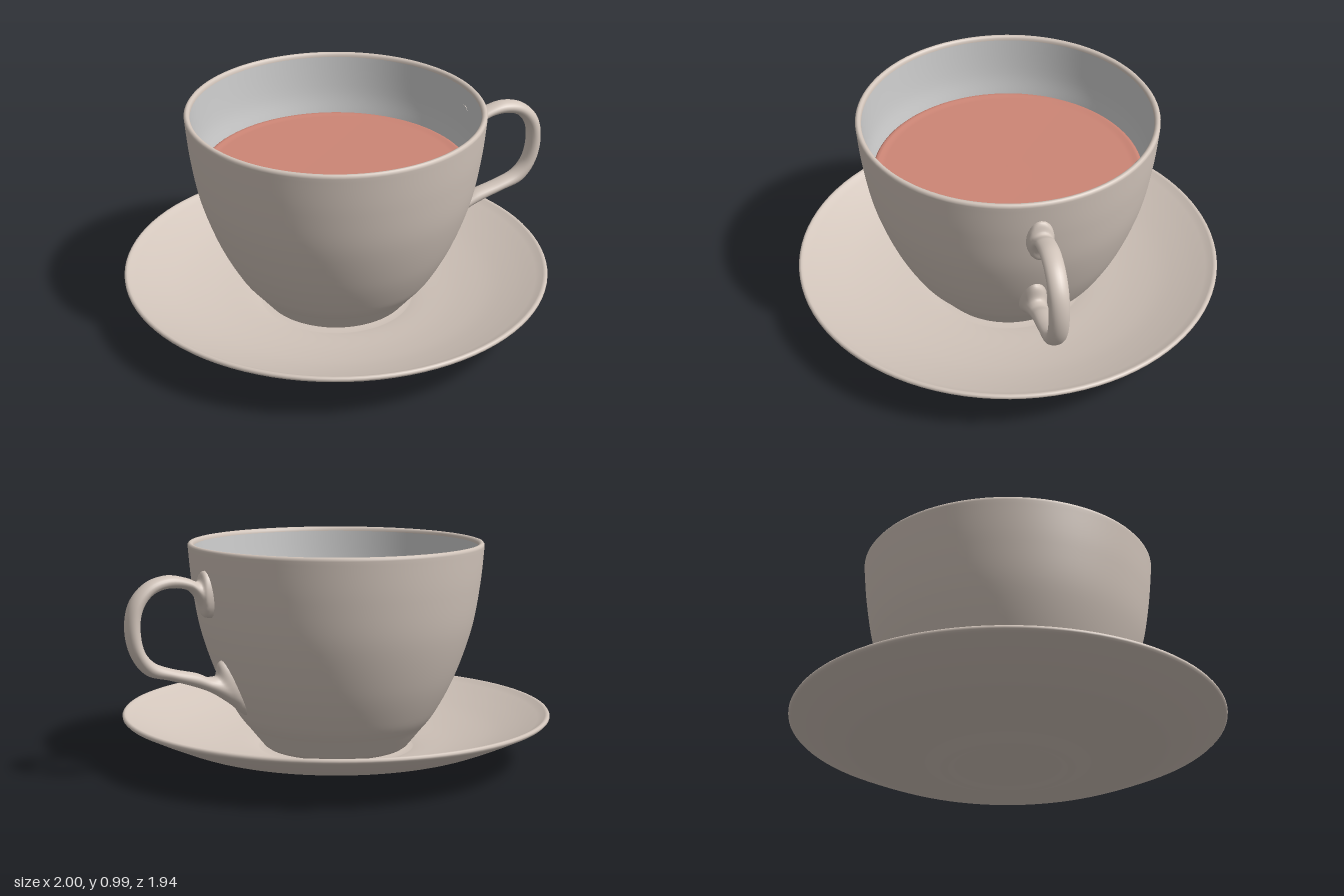
import * as THREE from 'three';

const CENTRE_X = -0.03; // cup and saucer axis; the handle fills the rest of +x

const glaze = new THREE.MeshStandardMaterial({ color: 0xd2c5bb });
const lining = new THREE.MeshStandardMaterial({ color: 0xcccccc });
const tea = new THREE.MeshStandardMaterial({ color: 0xcc8575 });

// Turned part from [radius, y] points running counter-clockwise round the section
function turned(name, profile, material) {
  const points = profile.map(([r, y]) => new THREE.Vector2(r, y));
  const mesh = new THREE.Mesh(new THREE.LatheGeometry(points, 96), material);
  mesh.name = name;
  mesh.position.x = CENTRE_X;
  return mesh;
}

// Resample a few points into a smooth curve
function smooth(points, count) {
  const curve = new THREE.SplineCurve(points.map(([x, y]) => new THREE.Vector2(x, y)));
  return curve.getPoints(count).map((p) => [p.x, p.y]);
}

// Elliptical sections spanning an outer and an inner edge curve
function handleGeometry() {
  // [outer x, outer y, inner x, inner y, half width in z]
  const sections = [
    [0.60, 0.90, 0.60, 0.69, 0.06],
    [0.638, 0.895, 0.635, 0.70, 0.057],
    [0.66, 0.855, 0.655, 0.755, 0.048],
    [0.71, 0.872, 0.70, 0.815, 0.043],
    [0.80, 0.89, 0.80, 0.833, 0.043],
    [0.90, 0.865, 0.875, 0.81, 0.043],
    [0.975, 0.79, 0.92, 0.755, 0.043],
    [1.00, 0.68, 0.935, 0.68, 0.043],
    [0.977, 0.56, 0.917, 0.575, 0.043],
    [0.91, 0.47, 0.87, 0.52, 0.043],
    [0.80, 0.435, 0.785, 0.485, 0.043],
    [0.68, 0.395, 0.67, 0.455, 0.043],
    [0.60, 0.36, 0.61, 0.43, 0.045],
    [0.51, 0.30, 0.58, 0.435, 0.052],
    [0.43, 0.24, 0.565, 0.49, 0.06],
    [0.39, 0.25, 0.53, 0.51, 0.06],
  ];
  const outer = new THREE.CatmullRomCurve3(sections.map((s) => new THREE.Vector3(s[0], s[1], s[4])));
  const inner = new THREE.CatmullRomCurve3(sections.map((s) => new THREE.Vector3(s[2], s[3], s[4])));
  const steps = 90, sides = 24, positions = [], index = [];
  for (let i = 0; i <= steps; i++) {
    const o = outer.getPoint(i / steps), n = inner.getPoint(i / steps);
    for (let j = 0; j < sides; j++) {
      const t = (j / sides) * Math.PI * 2, k = (1 + Math.cos(t)) / 2;
      positions.push(n.x + (o.x - n.x) * k, n.y + (o.y - n.y) * k, o.z * Math.sin(t));
      if (i === steps) continue;
      const a = i * sides + j, b = i * sides + ((j + 1) % sides);
      index.push(a, b, a + sides, b, b + sides, a + sides);
    }
  }
  const geometry = new THREE.BufferGeometry();
  geometry.setAttribute('position', new THREE.Float32BufferAttribute(positions, 3));
  geometry.setIndex(index);
  geometry.computeVertexNormals();
  return geometry;
}

export function createModel() {
  const model = new THREE.Group();
  model.name = 'cupAndSaucer';

  // Saucer: recessed foot, curved underside, rounded rim, shallow dish
  model.add(turned('saucer', [
    [0, 0.015], [0.22, 0.015], [0.24, 0.012], [0.26, 0.002], [0.275, 0], [0.29, 0], [0.31, 0.008],
    ...smooth([[0.36, 0.027], [0.445, 0.045], [0.58, 0.065], [0.71, 0.092], [0.84, 0.145], [0.962, 0.203]], 24),
    [0.969, 0.21], [0.97, 0.217], [0.966, 0.224], [0.958, 0.226], [0.949, 0.222],
    ...smooth([[0.935, 0.213], [0.83, 0.168], [0.7, 0.122], [0.55, 0.085], [0.4, 0.06], [0.35, 0.05]], 20),
    [0.32, 0.048], [0, 0.048],
  ], glaze));

  // Cup: outer wall and rounded rim
  model.add(turned('cupBody', [
    [0, 0.053], [0.29, 0.053], [0.315, 0.056],
    ...smooth([[0.33, 0.066], [0.39, 0.14], [0.455, 0.225], [0.54, 0.39], [0.612, 0.6], [0.648, 0.8], [0.665, 0.975]], 40),
    [0.665, 0.983], [0.66, 0.99], [0.653, 0.992], [0.645, 0.989], [0.64, 0.982], [0.639, 0.972],
  ], glaze));

  // Inner wall and floor of the cup
  model.add(turned('cupLining', [
    ...smooth([[0.639, 0.972], [0.624, 0.8], [0.603, 0.69], [0.585, 0.6], [0.51, 0.39], [0.42, 0.225], [0.3, 0.1]], 30),
    [0, 0.09],
  ], lining));

  // Drink surface with a slightly raised edge
  model.add(turned('drink', [
    [0.605, 0.69], [0.603, 0.698], [0.595, 0.704], [0.582, 0.704], [0.57, 0.7], [0.55, 0.699], [0, 0.699],
  ], tea));

  // Handle, flaring where it joins the wall
  const handle = new THREE.Mesh(handleGeometry(), glaze);
  handle.name = 'handle';
  model.add(handle);

  return model;
}
